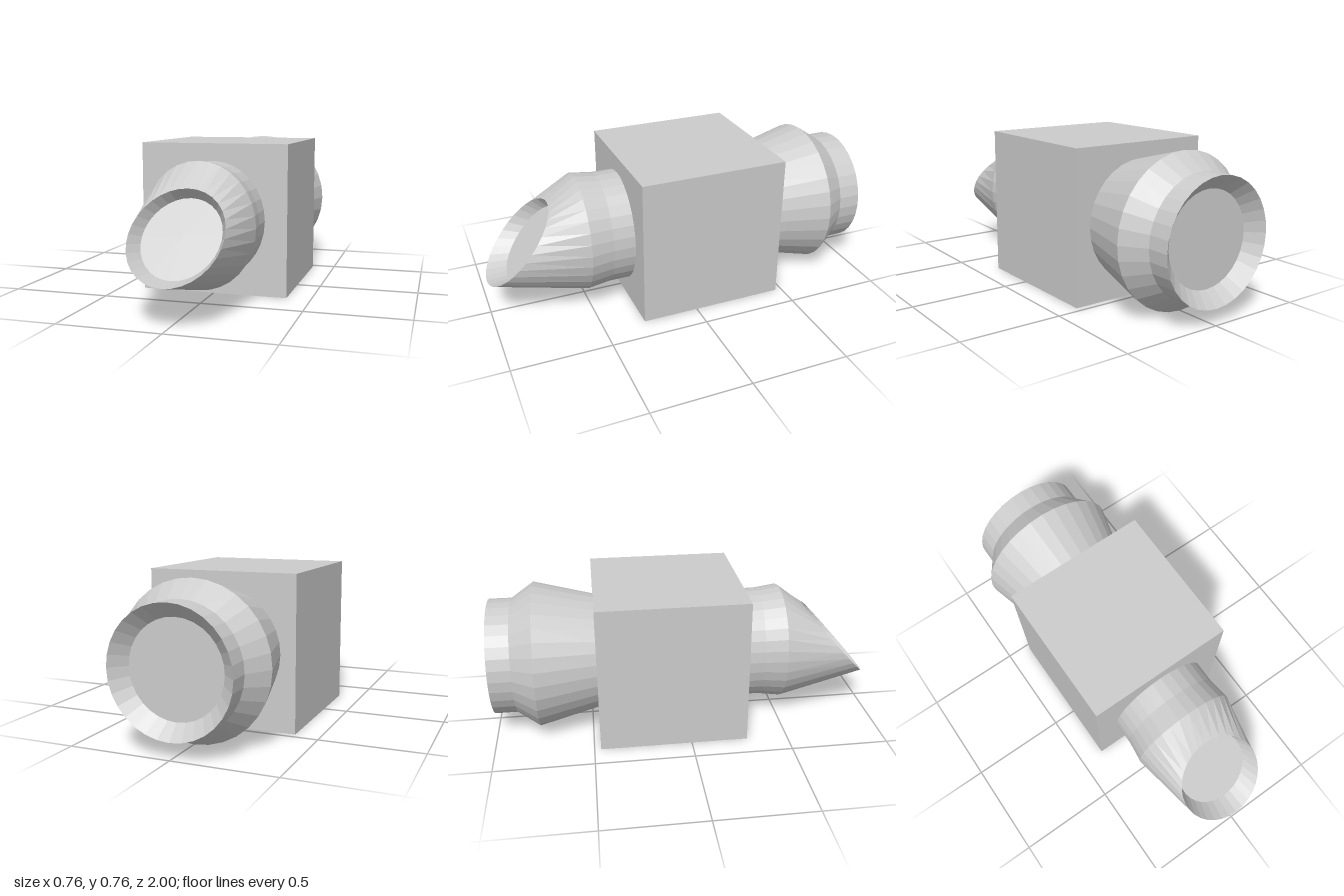
import * as THREE from 'three';

const SIDES = 32;
const CY = 0.383; // height of the long axis

const material = () => new THREE.MeshStandardMaterial({ color: 0xcccccc, flatShading: true });

// Skin through elliptical rings, then cap the last one.
// ring: y, z of the centre, rx, ry radii, rz = z lean of the ring's top
function loft(name, rings, facing) {
  const pos = [], index = [];
  for (const { y = CY, z, rx, ry = rx, rz = 0 } of rings) {
    for (let i = 0; i < SIDES; i++) {
      const a = (i / SIDES) * Math.PI * 2;
      pos.push(Math.sin(a) * rx * facing, y + Math.cos(a) * ry, z + Math.cos(a) * rz);
    }
  }
  for (let r = 0; r < rings.length - 1; r++) {
    for (let i = 0; i < SIDES; i++) {
      const a = r * SIDES + i, b = r * SIDES + (i + 1) % SIDES;
      index.push(a, a + SIDES, b, b, a + SIDES, b + SIDES);
    }
  }
  // flat floor of the recess
  const last = rings[rings.length - 1], base = (rings.length - 1) * SIDES;
  pos.push(0, last.y ?? CY, last.z);
  for (let i = 0; i < SIDES; i++) {
    index.push(base + i, rings.length * SIDES, base + (i + 1) % SIDES);
  }
  const geo = new THREE.BufferGeometry();
  geo.setAttribute('position', new THREE.Float32BufferAttribute(pos, 3));
  geo.setIndex(index);
  geo.computeVertexNormals();
  const mesh = new THREE.Mesh(geo, material());
  mesh.material.side = THREE.DoubleSide;
  mesh.name = name;
  return mesh;
}

export function createModel() {
  const group = new THREE.Group();
  group.name = 'model';

  // central block
  const block = new THREE.Mesh(new THREE.BoxGeometry(0.756, 0.76, 0.756), material());
  block.position.set(0, 0.384, -0.089);
  block.name = 'centralBlock';
  group.add(block);

  // front nozzle with a slanted, recessed mouth
  group.add(loft('frontNozzle', [
    { z: 0.285, rx: 0.266, ry: 0.294 },
    { z: 0.4, rx: 0.266, ry: 0.294 },
    { z: 0.515, rx: 0.28, ry: 0.31 },
    { y: 0.387, z: 0.83, rx: 0.222, ry: 0.191, rz: -0.17 },
    { y: 0.367, z: 0.755, rx: 0.187, ry: 0.162, rz: -0.14 },
  ], 1));

  // rear flared collar with a dished end
  group.add(loft('rearCollar', [
    { z: -0.46, rx: 0.3 },
    { z: -0.77, rx: 0.379 },
    { z: -0.885, rx: 0.3 },
    { z: -1, rx: 0.3 },
    { z: -0.93, rx: 0.23 },
  ], -1));

  return group;
}
